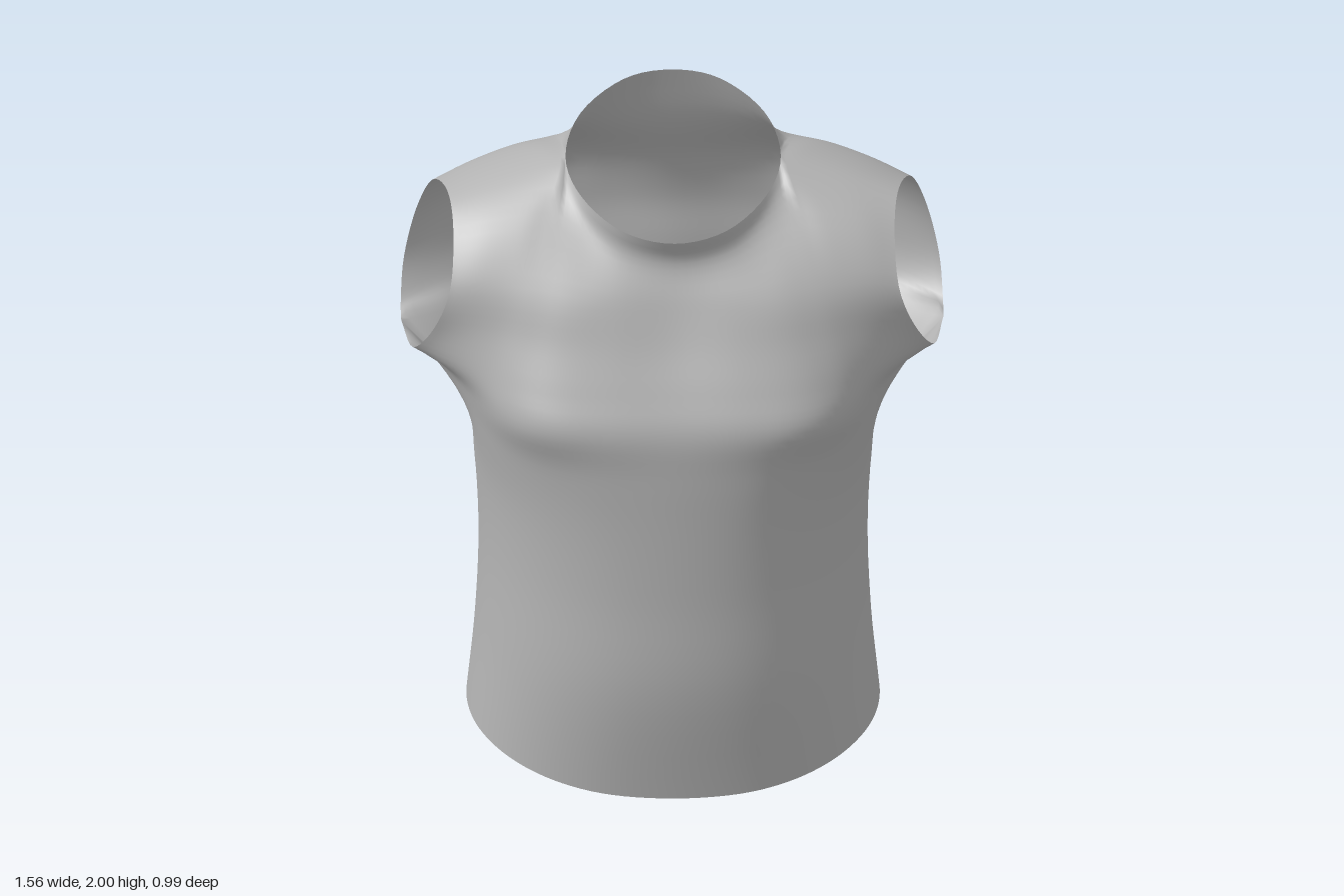
import * as THREE from 'three';
import { mergeVertices } from 'three/addons/utils/BufferGeometryUtils.js';

const STEPS = 5; // subdivisions between neighbouring control points
const V = (x, y, z) => new THREE.Vector3(x, y, z);
const flip = p => V(-p.x, p.y, p.z);
const reflect = (a, b) => a.clone().multiplyScalar(2).sub(b);

// Smooth curve through pts; before/after steer the end tangents
function spline(pts, before, after) {
  const n = pts.length;
  const all = [before || reflect(pts[0], pts[1]), ...pts, after || reflect(pts[n - 1], pts[n - 2])];
  const curve = new THREE.CatmullRomCurve3(all, false, 'catmullrom', 0.5);
  const out = [];
  for (let i = 0; i <= (n - 1) * STEPS; i++) out.push(curve.getPoint((1 + i / STEPS) / (n + 1)));
  return out;
}
const join = (...parts) => parts.reduce((a, b) => a.concat(b.slice(1)));

// Waist rings: front y, side y, back y, half width, front z, back z, side seam z, squareness
const rings = [
  [0.005, 0.115, 0.175, 0.595, 0.43, -0.45, -0.03, 2.3],
  [0.36, 0.38, 0.40, 0.57, 0.485, -0.415, -0.03, 2.15],
  [0.65, 0.65, 0.65, 0.56, 0.485, -0.405, -0.03, 2.15],
  [0.88, 0.89, 0.90, 0.572, 0.487, -0.43, -0.05, 2.25],
  [1.06, 1.09, 1.10, 0.603, 0.49, -0.465, -0.08, 2.5],
];
function ringRow([yf, ys, yb, w, zf, zb, zs, n], back) {
  const row = [];
  for (let k = 0; k <= 6; k++) {
    const a = k * Math.PI / 12;
    const s = Math.sin(a) ** (2 / n), c = k === 6 ? 0 : Math.cos(a) ** (2 / n);
    const y = back ? ys + (yb - ys) * c : ys + (yf - ys) * c * c;
    row.push(V(w * s, y, zs + ((back ? zb : zf) - zs) * c));
  }
  return row;
}

// Chest and back rows run from the centre line to the armhole edge
const frontRows = [
  [[0, 1.2, .486], [.2, 1.2, .485], [.35, 1.2, .463], [.46, 1.2, .40], [.55, 1.2, .28], [.65, 1.21, .07], [.78, 1.25, -.17]],
  [[0, 1.31, .437], [.2, 1.31, .44], [.35, 1.31, .422], [.46, 1.31, .37], [.55, 1.3, .295], [.655, 1.295, .19], [.75, 1.29, .075]],
  [[0, 1.43, .37], [.18, 1.43, .38], [.32, 1.43, .37], [.43, 1.43, .335], [.52, 1.43, .29], [.61, 1.425, .245], [.69, 1.42, .205]],
  [[0, 1.55, .315], [.17, 1.56, .32], [.29, 1.57, .31], [.39, 1.58, .285], [.48, 1.58, .265], [.57, 1.575, .247], [.645, 1.56, .232]],
  [[0, 1.655, .272], [.15, 1.675, .25], [.265, 1.725, .185], [.35, 1.755, .145], [.43, 1.75, .145], [.54, 1.73, .14], [.635, 1.7, .13]],
];
const backRows = [
  [[0, 1.25, -.475], [.2, 1.25, -.485], [.34, 1.25, -.475], [.46, 1.24, -.43], [.56, 1.23, -.36], [.66, 1.23, -.27], [.78, 1.25, -.17]],
  [[0, 1.36, -.475], [.2, 1.36, -.49], [.34, 1.35, -.488], [.46, 1.33, -.45], [.57, 1.31, -.395], [.68, 1.29, -.33], [.78, 1.27, -.26]],
  [[0, 1.49, -.475], [.19, 1.49, -.49], [.33, 1.48, -.492], [.45, 1.46, -.46], [.56, 1.43, -.415], [.67, 1.4, -.365], [.77, 1.38, -.32]],
  [[0, 1.64, -.43], [.18, 1.64, -.45], [.31, 1.64, -.46], [.42, 1.62, -.435], [.53, 1.6, -.4], [.64, 1.57, -.355], [.735, 1.54, -.31]],
  [[0, 1.8, -.34], [.16, 1.8, -.335], [.27, 1.795, -.305], [.36, 1.785, -.28], [.46, 1.765, -.27], [.58, 1.725, -.25], [.69, 1.68, -.22]],
];
// Neck edge (centre to side) and shared shoulder seam
const frontNeck = [[0, 1.735, .3], [.15, 1.755, .26], [.265, 1.805, .14]];
const backNeck = [[0, 2, -.28], [.14, 1.98, -.26], [.265, 1.925, -.155]];
const shoulder = [[.31, 1.858, -.01], [.38, 1.842, -.03], [.51, 1.802, -.03], [.65, 1.752, -.01]];

function panelRows(back) {
  const upper = [...(back ? backRows : frontRows), [...(back ? backNeck : frontNeck), ...shoulder]];
  return [...rings.map(r => ringRow(r, back)), ...upper.map(row => row.map(p => V(...p)))];
}

// Spread each row across the body, from the right edge to the left edge
function spreadRows(rows, other) {
  return rows.map((half, r) => {
    const full = [...half.slice(1).reverse().map(flip), ...half];
    if (r === 10) {
      const side = other[r][2];
      return join(spline(full.slice(0, 4)), spline(full.slice(3, 10), flip(side), side), spline(full.slice(9)));
    }
    const next = r < 5 ? other[r][5] : null; // waist rows flow round the side
    return spline(full, next && flip(next), next);
  });
}

// One cloth panel: columns run from the hem up to the neck or shoulder
function panel(rows, other, back, positions, indices) {
  const width = rows[0].length, start = positions.length / 3;
  let height = 0;
  for (let c = 0; c < width; c++) {
    const pts = rows.map(r => r[c]);
    const isNeck = c > 3 * STEPS && c < 9 * STEPS;
    const after = isNeck ? null : other[9][c];
    const column = c === 0 || c === width - 1
      ? join(spline(pts.slice(0, 6)), spline(pts.slice(5), null, after))
      : spline(pts, null, after);
    height = column.length;
    column.forEach(p => positions.push(p.x, p.y, p.z));
  }
  for (let c = 0; c < width - 1; c++) {
    for (let r = 0; r < height - 1; r++) {
      const a = start + c * height + r, b = a + height;
      if (back) indices.push(a, a + 1, b, b, a + 1, b + 1);
      else indices.push(a, b, a + 1, b, b + 1, a + 1);
    }
  }
}

export function createModel() {
  const cloth = new THREE.MeshStandardMaterial({ color: 0xb4b4b4, side: THREE.DoubleSide });
  cloth.name = 'grey cloth';

  const f = panelRows(false), b = panelRows(true);
  const front = spreadRows(f, b), back = spreadRows(b, f);
  const positions = [], indices = [];
  panel(front, back, false, positions, indices);
  panel(back, front, true, positions, indices);

  // Weld the side and shoulder seams so the cloth shades smoothly
  let geometry = new THREE.BufferGeometry();
  geometry.setAttribute('position', new THREE.Float32BufferAttribute(positions, 3));
  geometry.setIndex(indices);
  geometry = mergeVertices(geometry, 1e-4);
  geometry.computeVertexNormals();

  const shirt = new THREE.Mesh(geometry, cloth);
  shirt.name = 'sleevelessShirt';
  const model = new THREE.Group();
  model.name = 'shirt';
  model.add(shirt);
  return model;
}
